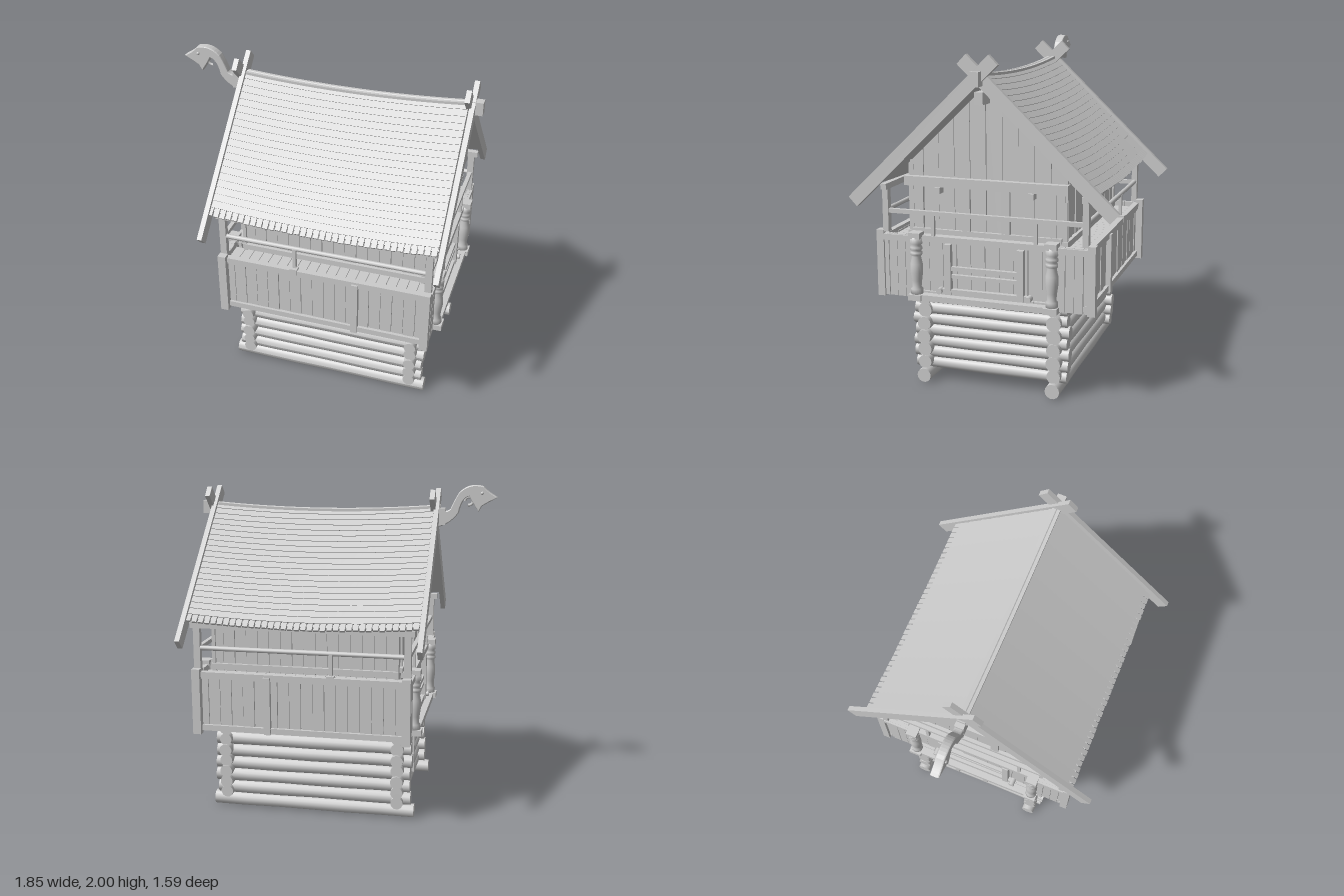
import * as THREE from 'three';
import { mergeGeometries } from 'three/addons/utils/BufferGeometryUtils.js';

const mat = new THREE.MeshStandardMaterial({ color: 0xcccccc });
const CX = 0.145; // middle of the roof along x
const SLOPE = Math.atan(0.958);

let seed = 7;
const rnd = () => (seed = (seed * 16807) % 2147483647) / 2147483647;
const jit = (a) => (rnd() - 0.5) * 2 * a;

export function createModel() {
  const root = new THREE.Group();
  root.name = 'logStorehouse';

  const add = (name, geo, x = 0, y = 0, z = 0) => {
    const m = new THREE.Mesh(geo, mat);
    m.name = name;
    m.position.set(x, y, z);
    root.add(m);
  };
  const box = (name, w, h, d, x, y, z) => add(name, new THREE.BoxGeometry(w, h, d), x, y, z);

  // log with slightly wavy thickness, along x or z
  const log = (name, axis, a, b, r, x, y, z) => {
    const g = new THREE.CylinderGeometry(r, r, b - a, 14, 6);
    const p = g.attributes.position, ph = rnd() * 6;
    for (let i = 0; i < p.count; i++) {
      const s = 1 + 0.04 * Math.sin(p.getY(i) * 9 + ph);
      p.setX(i, p.getX(i) * s);
      p.setZ(i, p.getZ(i) * s);
    }
    if (axis === 'x') g.rotateZ(Math.PI / 2); else g.rotateX(Math.PI / 2);
    g.computeVertexNormals();
    const m = (a + b) / 2;
    add(name, g, axis === 'x' ? m : x, y, axis === 'x' ? z : m);
  };

  // row of upright planks; top(u) gives the height at u along the wall
  const planks = (name, axis, u0, u1, y0, top, at, n, t = 0.02) => {
    const w = (u1 - u0) / n, geos = [];
    for (let i = 0; i < n; i++) {
      const a = u0 + i * w + 0.0015, b = u0 + (i + 1) * w - 0.0015;
      const s = new THREE.Shape([[a, y0], [b, y0], [b, top(b)], [a, top(a)]].map(([x, y]) => new THREE.Vector2(x, y)));
      const g = new THREE.ExtrudeGeometry(s, { depth: t, bevelEnabled: false });
      g.translate(0, 0, -t / 2 + jit(0.003));
      if (axis === 'z') g.rotateY(-Math.PI / 2);
      geos.push(g);
    }
    add(name, mergeGeometries(geos), axis === 'z' ? at : 0, 0, axis === 'z' ? 0 : at);
  };
  const flat = (h) => () => h;

  // ---- log base
  const DZ0 = -0.16, DZ1 = 0.05;
  for (let i = 0; i < 7; i++) {
    const y = 0.045 + i * 0.08;
    for (const s of [-1, 1]) log('longLog', 'x', i ? -0.48 + jit(0.015) : -0.5, i ? 0.74 + jit(0.015) : 0.76, 0.043, 0, y, s * 0.4);
    const yc = 0.11 + i * 0.068;
    const e = 0.475 + jit(0.012);
    log('crossLog', 'z', -e, e, 0.038, 0.67, yc, 0);
    if (yc > 0.12 && yc < 0.42) {
      log('crossLog', 'z', -e, DZ0, 0.038, -0.4, yc, 0);
      log('crossLog', 'z', DZ1, e, 0.038, -0.4, yc, 0);
    } else log('crossLog', 'z', -e, e, 0.038, -0.4, yc, 0);
  }
  // base door
  box('baseDoor', 0.02, 0.3, 0.2, -0.395, 0.28, -0.055);
  for (const z of [DZ0, DZ1]) box('baseDoorJamb', 0.085, 0.3, 0.03, -0.4, 0.28, z);
  box('baseDoorLintel', 0.085, 0.035, 0.25, -0.4, 0.425, -0.055);

  // ---- upper storey
  planks('floor', 'z', -0.59, 0.59, 0.555, flat(0.585), CX + 0.01, 12, 1.26);
  box('upperCore', 1.1, 0.76, 0.88, 0.165, 0.95, 0);
  const gableTop = (z) => 1.79 - 0.958 * Math.abs(z);
  for (const s of [-1, 1]) {
    planks('longWall', 'x', -0.4, 0.74, 0.88, flat(1.35), s * 0.455, 16);
    box('wallSill', 1.15, 0.035, 0.04, 0.17, 0.92, s * 0.465);
    // gallery: deck, parapet and frame
    planks('galleryDeck', 'x', -0.46, 0.77, 0.875, flat(0.89), s * 0.53, 20, 0.14);
    planks('parapet', 'x', -0.48, 0.79, 0.56, flat(0.9), s * 0.605, 18);
    box('parapetTopRail', 1.28, 0.04, 0.035, 0.155, 0.9, s * 0.615);
    box('parapetBottomRail', 1.28, 0.035, 0.035, 0.155, 0.575, s * 0.615);
    box('parapetBatten', 0.04, 0.35, 0.03, 0.355, 0.73, s * 0.63);
    log('galleryRail', 'x', -0.48, 0.79, 0.014, 0, 1.06, s * 0.6);
    box('railStrut', 0.02, 0.16, 0.02, -0.025, 0.98, s * 0.605);
    box('railStrutFoot', 0.045, 0.04, 0.04, -0.025, 0.91, s * 0.615);
    box('eavePlate', 1.34, 0.035, 0.035, 0.155, 1.2, s * 0.6);
  }

  // ---- both gable ends
  const columnProfile = [[0, 0], [0.036, 0], [0.036, 0.04], [0.026, 0.05], [0.03, 0.09], [0.037, 0.14], [0.036, 0.19],
    [0.026, 0.235], [0.035, 0.245], [0.035, 0.26], [0.027, 0.265], [0.035, 0.275], [0.035, 0.29], [0.028, 0.3], [0.036, 0.31], [0.036, 0.35], [0, 0.35]]
    .map(([x, y]) => new THREE.Vector2(x, y));
  for (const e of [-1, 1]) {
    const W = (d) => 0.165 + e * d; // distances for the wall
    const X = (d) => 0.155 + e * d; // distances for the gallery
    planks('gableWall', 'z', -0.48, 0.48, 0.57, gableTop, W(0.56), 10);
    planks('lowerGablePanel', 'z', -0.43, 0.43, 0.56, flat(0.9), X(0.602), 10);
    box('gableTieBeam', 0.05, 0.055, 0.98, W(0.585), 1.235, 0);
    box('upperGirt', 0.03, 0.03, 0.9, W(0.575), 0.94, 0);
    box('gableSill', 0.09, 0.035, 0.86, X(0.635), 0.557, 0);
    box('gableMidRail', 0.075, 0.035, 0.84, X(0.605), 0.905, 0);
    box('doorCrossbar', 0.035, 0.025, 0.4, X(0.618), 0.735, 0);
    box('doorCrossbar', 0.035, 0.02, 0.4, X(0.618), 0.69, 0);
    box('doorFoot', 0.04, 0.035, 0.52, X(0.62), 0.595, 0);
    box('endRail', 0.025, 0.025, 1.2, X(0.63), 1.055, 0);
    for (const s of [-1, 1]) {
      box('doorPost', 0.05, 0.3, 0.04, X(0.622), 0.73, s * 0.22);
      box('wallStud', 0.03, 0.27, 0.05, W(0.573), 1.08, s * 0.12);
      box('wallStud', 0.025, 0.27, 0.03, W(0.57), 1.08, s * 0.4);
      box('railStrut', 0.02, 0.13, 0.02, X(0.63), 0.985, s * 0.31);
      box('beamPeg', 0.07, 0.035, 0.035, W(0.59), 1.19, s * 0.28);
      const k = new THREE.CylinderGeometry(0.018, 0.018, 0.05, 10);
      k.rotateZ(Math.PI / 2);
      add('peg', k, X(0.635), 0.6, s * 0.27);
      add('carvedColumn', new THREE.LatheGeometry(columnProfile, 18), X(0.65), 0.565, s * 0.41);
      box('columnCap', 0.07, 0.035, 0.07, X(0.65), 0.925, s * 0.41);
      box('columnFoot', 0.08, 0.035, 0.08, X(0.655), 0.557, s * 0.41);
      // closed end of the gallery
      planks('galleryEnd', 'z', Math.min(s * 0.43, s * 0.64), Math.max(s * 0.43, s * 0.64), 0.545, flat(0.92), X(0.63), 4);
      box('galleryEndRail', 0.03, 0.035, 0.22, X(0.64), 0.9, s * 0.53);
      box('cornerBoard', 0.05, 0.4, 0.045, X(0.63), 0.74, s * 0.637);
      box('eavePost', 0.04, 0.28, 0.035, X(0.63), 1.07, s * 0.6);
    }
    box('ridgePurlin', 0.14, 0.07, 0.05, X(0.62), 1.73, 0);
  }

  // ---- sagging roof
  const sag = (g) => {
    const p = g.attributes.position;
    for (let i = 0; i < p.count; i++) p.setY(i, p.getY(i) + 0.03 * ((p.getX(i) - CX) / 0.7) ** 2);
    g.computeVertexNormals();
    return g;
  };
  const onSlope = (g, s, d, lift) => { // d runs down the slope from the ridge
    g.rotateX(s * SLOPE);
    const z = d * Math.cos(SLOPE) + lift * Math.sin(SLOPE);
    return g.translate(0, 1.84 - d * Math.sin(SLOPE) + lift * Math.cos(SLOPE), s * z);
  };
  // courses are continuous strips; only the eave course ends in separate shingles
  const ROWS = 21, TEETH = 36, STEP = 0.043, PITCH = 1.38 / TEETH;
  for (const s of [-1, 1]) {
    const slab = new THREE.BoxGeometry(1.38, 0.03, 0.89, 20, 1, 1);
    add('roofBoarding', sag(onSlope(slab.translate(CX, 0, 0), s, 0.445, -0.022)));
    const geos = [];
    const strip = (w, len, x, d, seg) => {
      const g = new THREE.BoxGeometry(w, 0.013, len, seg, 1, 1);
      g.rotateX(s * -0.1);
      geos.push(sag(onSlope(g.translate(x, 0, 0), s, d, 0)));
    };
    for (let r = 0; r < ROWS - 1; r++) strip(1.38, 0.056, CX, 0.025 + r * STEP, 24);
    for (let c = 0; c < TEETH; c++) strip(PITCH * 0.78, 0.07 + jit(0.006), CX - 0.69 + (c + 0.5) * PITCH, 0.025 + (ROWS - 1) * STEP, 1);
    add('roofShingles', mergeGeometries(geos));
    // rake boards, crossing above the ridge
    for (const x of [-0.553, 0.85]) {
      const b = new THREE.BoxGeometry(0.03, 0.075, 1.2);
      b.rotateX(s * SLOPE);
      add('rakeBoard', b, x + s * 0.01, 1.528, s * 0.338);
    }
  }
  add('ridgePole', sag(new THREE.BoxGeometry(1.5, 0.07, 0.05, 20).translate(0.165, 1.806, 0)));
  box('ridgePoleEnd', 0.08, 0.08, 0.055, 0.88, 1.84, 0);
  box('ridgePoleEnd', 0.07, 0.1, 0.055, -0.58, 1.805, 0);

  // ---- carved beast at the ridge end
  const neck = new THREE.Shape();
  neck.moveTo(-0.56, 1.745);
  neck.quadraticCurveTo(-0.64, 1.76, -0.69, 1.83);
  neck.quadraticCurveTo(-0.71, 1.93, -0.76, 1.935);
  neck.lineTo(-0.78, 1.9);
  neck.lineTo(-0.815, 1.845);
  neck.lineTo(-0.83, 1.875);
  neck.lineTo(-0.87, 1.9);
  neck.lineTo(-0.92, 1.925);
  neck.quadraticCurveTo(-0.87, 1.95, -0.84, 1.985);
  neck.quadraticCurveTo(-0.76, 2.01, -0.7, 1.95);
  neck.quadraticCurveTo(-0.67, 1.9, -0.65, 1.85);
  neck.quadraticCurveTo(-0.62, 1.82, -0.56, 1.84);
  add('beastHeadAndNeck', new THREE.ExtrudeGeometry(neck, { depth: 0.036, bevelEnabled: true, bevelThickness: 0.008, bevelSize: 0.005, bevelSegments: 2, curveSegments: 8 }), 0, 0, -0.018);
  add('beastCurl', new THREE.TorusGeometry(0.024, 0.008, 8, 16, 5), -0.755, 1.9, 0);
  for (const s of [-1, 1]) add('beastEye', new THREE.SphereGeometry(0.01, 10, 8), -0.835, 1.95, s * 0.026);

  return root;
}
